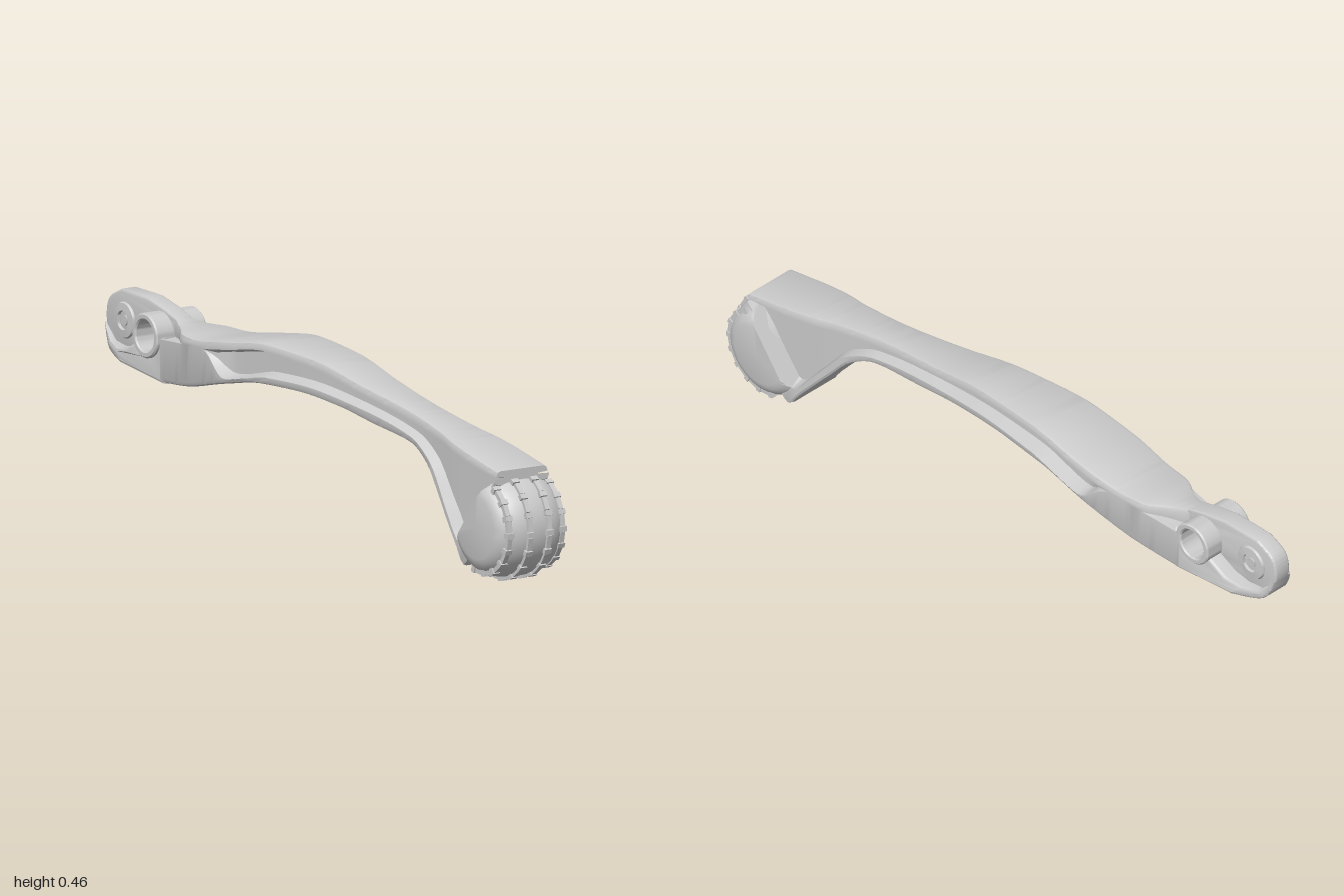
import * as THREE from 'three';
import { toCreasedNormals } from 'three/addons/utils/BufferGeometryUtils.js';

const material = new THREE.MeshStandardMaterial({ color: 0xcccccc });

function part(name, geometry, crease = 0.6) {
  const mesh = new THREE.Mesh(toCreasedNormals(geometry, crease), material);
  mesh.name = name;
  return mesh;
}

// Smooth, overshoot-free curve through [z, value] pairs listed from high z to low z
function curve(p) {
  const s = p.slice(1).map((q, i) => (q[1] - p[i][1]) / (q[0] - p[i][0]));
  const m = p.map((_, i) => {
    if (i === 0) return s[0];
    if (i === s.length) return s[i - 1];
    return s[i - 1] * s[i] <= 0 ? 0 : 2 * s[i - 1] * s[i] / (s[i - 1] + s[i]);
  });
  return z => {
    let i = 0;
    while (i < s.length - 1 && z < p[i + 1][0]) i++;
    const h = p[i + 1][0] - p[i][0], t = (z - p[i][0]) / h, u = 1 - t;
    return p[i][1] * (1 + 2 * t) * u * u + m[i] * h * t * u * u
      + p[i + 1][1] * t * t * (3 - 2 * t) - m[i + 1] * h * t * t * u;
  };
}

// Arm: side outline, half widths, and the pocket along each flank
const top = curve([[.91, .308], [.68, .35], [.47, .385], [.25, .418], [.04, .453], [-.15, .46],
  [-.34, .435], [-.51, .412], [-.63, .418], [-.68, .428]]);
const bottom = curve([[.91, .27], [.85, .19], [.79, .06], [.76, .03], [.72, .075], [.627, .18], [.55, .262],
  [.47, .3], [.305, .32], [.145, .342], [-.02, .353], [-.18, .348], [-.34, .32], [-.55, .273], [-.68, .258]]);
const topWidth = curve([[.91, .08], [.8, .08], [.7, .075], [.6, .06], [.45, .052], [.2, .065], [0, .08],
  [-.2, .095], [-.35, .101], [-.5, .09], [-.56, .083], [-.62, .05], [-.68, .025]]);
const bottomWidth = curve([[.91, .085], [.8, .088], [.7, .082], [.6, .068], [.45, .055], [.2, .065], [0, .08],
  [-.2, .095], [-.35, .101], [-.5, .09], [-.56, .083], [-.68, .07]]);
const webWidth = curve([[.91, .05], [.7, .045], [.45, .03], [.2, .035], [0, .045], [-.34, .06],
  [-.44, .096], [-.5, .09], [-.56, .083], [-.62, .05], [-.68, .025]]);
const pocketTop = curve([[.91, .292], [.87, .295], [.68, .325], [.47, .36], [.25, .395], [.04, .43],
  [-.15, .44], [-.34, .412], [-.44, .397], [-.56, .39], [-.68, .385]]);
const pocketBottom = curve([[.91, .286], [.85, .22], [.745, .09], [.67, .165], [.57, .275], [.47, .32],
  [.2, .36], [0, .375], [-.15, .37], [-.34, .335], [-.44, .393], [-.56, .386], [-.68, .375]]);

function armSection(z) {
  const t = top(z), o = bottom(z), wt = topWidth(z), wb = bottomWidth(z);
  const gt = pocketTop(z), gb = pocketBottom(z), g = Math.min(webWidth(z), wt);
  const b = .012, c = Math.min(.01, (gt - gb) / 3);
  const half = [[wt - b, t], [wt - b * .3, t - b * .3], [wt, t - b], [wt, gt], [g, gt - c],
    [g, gb + c], [wb, gb], [wb, o + b], [wb - b * .3, o + b * .3], [wb - b, o]];
  return [...half, ...half.slice().reverse().map(([x, y]) => [-x, y])];
}

function armGeometry() {
  const pos = [], idx = [], steps = 106, n = 20;
  for (let i = 0; i <= steps; i++) {
    const z = .91 - 1.59 * i / steps;
    for (const [x, y] of armSection(z)) pos.push(x, y, z);
  }
  for (let i = 0; i < steps; i++) for (let j = 0; j < n; j++) {
    const a = i * n + j, b = i * n + (j + 1) % n;
    idx.push(a, b, a + n, b, b + n, a + n);
  }
  // End faces, as strips between mirrored points
  const e = steps * n;
  for (let j = 0; j < n / 2 - 1; j++) {
    const k = n - 1 - j;
    idx.push(j, k, j + 1, k, k - 1, j + 1);
    idx.push(e + j, e + j + 1, e + k, e + k, e + j + 1, e + k - 1);
  }
  const geometry = new THREE.BufferGeometry();
  geometry.setAttribute('position', new THREE.Float32BufferAttribute(pos, 3));
  geometry.setIndex(idx);
  return geometry;
}

// Plate drawn in the (z, y) plane, centred on x = 0
function plate(shape, halfWidth, bevel) {
  const g = new THREE.ExtrudeGeometry(shape, {
    depth: 2 * (halfWidth - bevel), bevelThickness: bevel, bevelSize: bevel,
    bevelOffset: -bevel, bevelSegments: 3, curveSegments: 32,
  });
  return g.translate(0, 0, bevel - halfWidth).rotateY(-Math.PI / 2);
}

const vectors = pts => pts.map(([x, y]) => new THREE.Vector2(x, y));
// Turned part with its axis along x; points are [radius, x]
const turned = (pts, segments = 40) => new THREE.LatheGeometry(vectors(pts), segments).rotateZ(-Math.PI / 2);

export function createModel() {
  const model = new THREE.Group();
  model.add(part('arm', armGeometry(), 0.5));

  // Thin rear lug with the pivot hole
  const lug = new THREE.Shape();
  lug.moveTo(-.66, .27).lineTo(-.87, .288);
  lug.splineThru(vectors([[-.95, .3], [-.985, .33], [-1, .38], [-.985, .43], [-.93, .46]]));
  lug.lineTo(-.81, .46).lineTo(-.73, .444).lineTo(-.66, .422);
  lug.holes.push(new THREE.Path().absarc(-.74, .375, .05, 0, Math.PI * 2, true));
  model.add(part('rearLug', plate(lug, .026, .006)));

  // Wider lower flange, hollowed under the pivot and narrowed to the tip
  const flange = new THREE.Shape();
  flange.moveTo(-.665, .257).lineTo(-.87, .278);
  flange.splineThru(vectors([[-.955, .293], [-.985, .325], [-.997, .36]]));
  flange.lineTo(-.95, .318).lineTo(-.9, .312).lineTo(-.85, .32);
  for (let i = 0; i <= 12; i++) {
    const a = Math.PI * (1.15 + .85 * i / 12);
    flange.lineTo(-.74 + .052 * Math.cos(a), .375 + .052 * Math.sin(a));
  }
  flange.lineTo(-.665, .383);
  const flangeGeometry = plate(flange, .069, .008);
  const fp = flangeGeometry.attributes.position;
  for (let i = 0; i < fp.count; i++) {
    const k = THREE.MathUtils.clamp((-.875 - fp.getZ(i)) / .125, 0, 1);
    fp.setX(i, fp.getX(i) * (1 - .55 * k));
  }
  model.add(part('rearFlange', flangeGeometry));

  // Pivot sleeve, open right through
  const sleeve = part('pivotSleeve', turned([[.042, -.076], [.046, -.08], [.056, -.08], [.06, -.076],
    [.06, .076], [.056, .08], [.046, .08], [.042, .076], [.042, -.076]]));
  sleeve.position.set(0, .375, -.74);
  model.add(sleeve);

  // Small bushing with a recessed pin
  const bushing = part('rearBushing', turned([[0, -.03], [.014, -.03], [.014, -.022], [.024, -.022], [.026, -.034],
    [.046, -.032], [.049, -.026], [.049, .026], [.046, .032], [.026, .034], [.024, .022], [.014, .022],
    [.014, .03], [0, .03]], 32));
  bushing.position.set(0, .38, -.91);
  model.add(bushing);

  // Barrel-shaped foot pad, cut flat where it meets the arm
  const pad = new THREE.Group();
  pad.name = 'footPad';
  pad.position.set(0, .152, .85);
  const half = [[.141, 0], [.14, .03], [.135, .055], [.125, .08], [.113, .095], [.1, .104], [.085, .108], [0, .108]];
  const profile = [...half.slice(1).reverse().map(([r, x]) => [r, -x]), ...half];
  const body = turned(profile, 64);
  const bp = body.attributes.position;
  for (let i = 0; i < bp.count; i++) {
    const d = bp.getZ(i) * -.79 + bp.getY(i) * .613 - .045;
    if (d > 0) {
      bp.setZ(i, bp.getZ(i) + .79 * d);
      bp.setY(i, bp.getY(i) - .613 * d);
    }
  }
  model.add(pad);
  pad.add(part('padBody', body, 0.5));

  // Tread: four rows of rails split by wider lugs
  const rows = [[-.083, .122], [-.03, .14], [.03, .14], [.083, .122]];
  const step = .36;
  for (const [x, r] of rows) {
    for (let i = 0; i < 9; i++) {
      const blocks = [['treadLug', 1.05 - step * i, .021, .014, .02]];
      if (i < 8) blocks.push(['treadRail', 1.05 - step * (i + .5), .014, r * step * .7, .014]);
      for (const [name, a, w, length, height] of blocks) {
        const block = part(name, new THREE.BoxGeometry(w, length, height));
        block.position.set(x, r * Math.sin(a), r * Math.cos(a));
        block.rotation.x = -a;
        pad.add(block);
      }
    }
  }
  return model;
}
